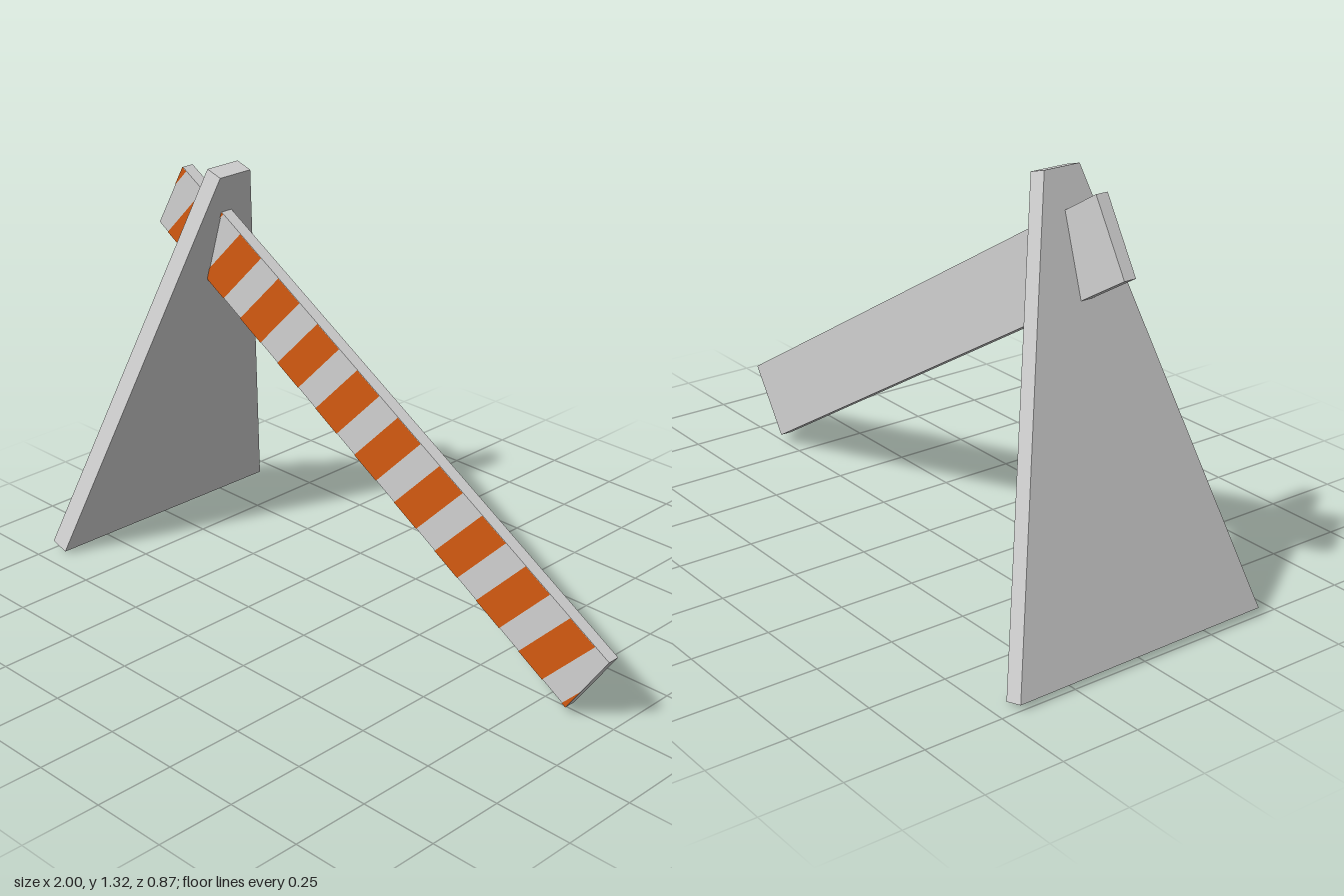
import * as THREE from 'three';

const lightGrey = new THREE.MeshStandardMaterial({ color: 0xd0d0d0 });
lightGrey.name = 'lightGrey';
const orange = new THREE.MeshStandardMaterial({ color: 0xd45a10 });
orange.name = 'orange';

// Sloping plank outline in x, y (counter-clockwise) and its z faces
const OUTLINE = [[-0.867, 1.071], [0.853, 0.024], [0.997, 0.232], [-0.744, 1.279]];
const BACK = -0.006, FRONT = 0.034;

// Diagonal stripes, measured along x - y
const STRIPE_START = -1.874, STRIPE_STEP = 0.268, STRIPE_WIDTH = 0.147;

const toShape = (pts) => new THREE.Shape(pts.map(([x, y]) => new THREE.Vector2(x, y)));

// Keep the part of a polygon where sign * (x - y - limit) >= 0
function clip(pts, limit, sign) {
  const side = ([x, y]) => sign * (x - y - limit);
  const out = [];
  pts.forEach((a, i) => {
    const b = pts[(i + 1) % pts.length];
    const da = side(a), db = side(b);
    if (da >= 0) out.push(a);
    if (da * db < 0) {
      const t = da / (da - db);
      out.push([a[0] + t * (b[0] - a[0]), a[1] + t * (b[1] - a[1])]);
    }
  });
  return out;
}

// Leaning slab, wide at the foot and narrow at the top
function supportGeometry() {
  const g = new THREE.BoxGeometry(1, 1, 1).toNonIndexed();
  const p = g.attributes.position;
  for (let i = 0; i < p.count; i++) {
    const right = p.getX(i) > 0, top = p.getY(i) > 0, front = p.getZ(i) > 0;
    if (top) {
      p.setXYZ(i, right ? -0.528 : -0.585, right ? 1.298 : 1.315, front ? 0.071 : -0.052);
    } else {
      const twist = front ? 0.008 : 0;
      p.setXYZ(i, right ? -0.94 : -1, (right ? 0 : 0.018) + twist, front ? 0.435 : -0.438);
    }
  }
  g.computeVertexNormals();
  return g;
}

export function createModel() {
  const model = new THREE.Group();
  model.name = 'brokenBarrier';
  const add = (geometry, material, name, parent = model) => {
    const mesh = new THREE.Mesh(geometry, material);
    mesh.name = name;
    parent.add(mesh);
    return mesh;
  };

  add(supportGeometry(), lightGrey, 'support');

  // Plank
  const plank = new THREE.ExtrudeGeometry(toShape(OUTLINE), { depth: FRONT - BACK, bevelEnabled: false });
  add(plank, lightGrey, 'plank').position.z = BACK;

  // Painted stripes, on the front only
  const stripes = new THREE.Group();
  stripes.name = 'stripes';
  model.add(stripes);
  for (let k = -1; k <= 10; k++) {
    const from = STRIPE_START + k * STRIPE_STEP;
    const pts = clip(clip(OUTLINE, from, 1), from + STRIPE_WIDTH, -1);
    if (pts.length < 3) continue;
    add(new THREE.ShapeGeometry(toShape(pts)), orange, 'stripe', stripes).position.z = FRONT + 0.002;
  }
  return model;
}
